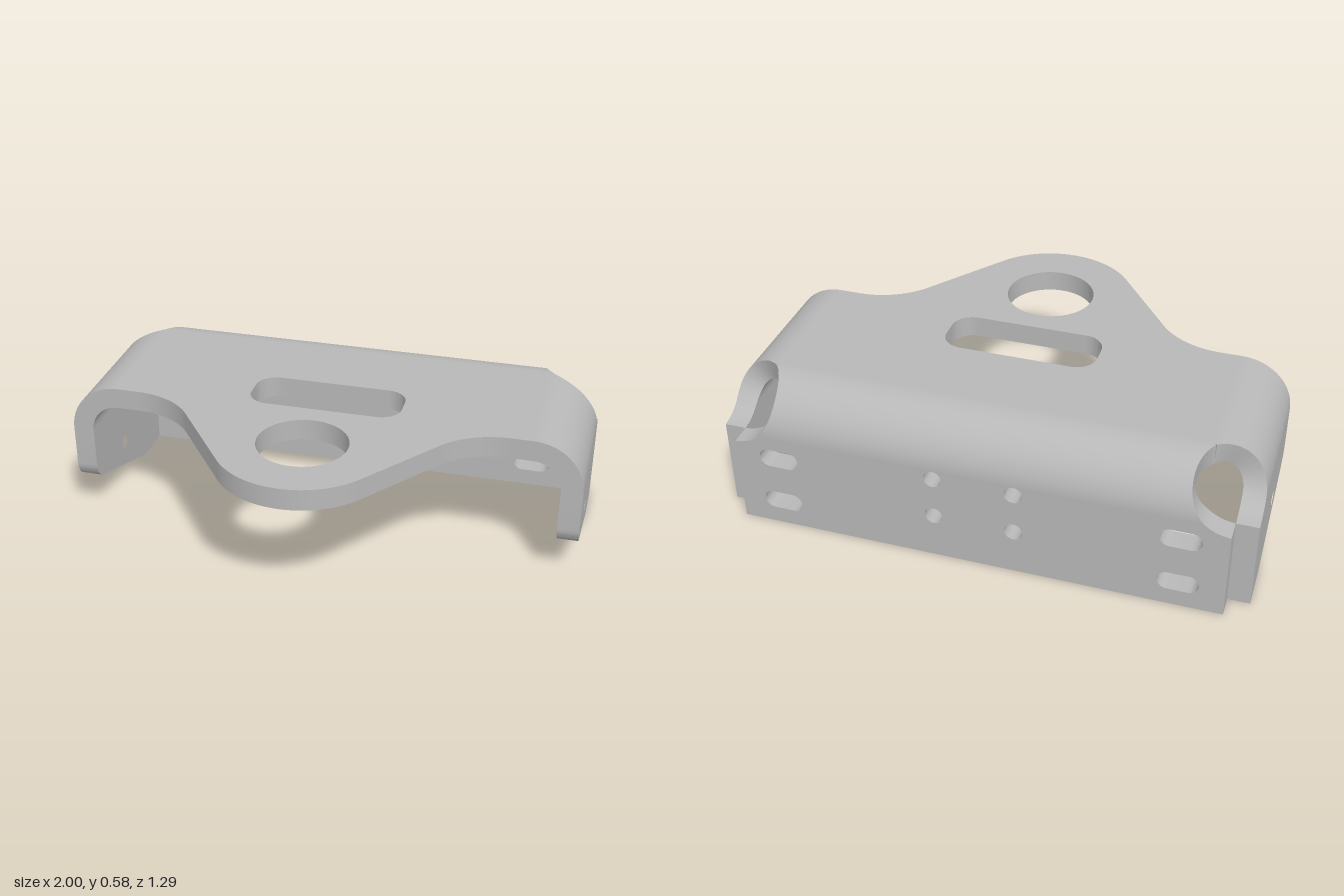
import * as THREE from 'three';
import { toCreasedNormals } from 'three/addons/utils/BufferGeometryUtils.js';

const T = 0.082;                     // sheet thickness
const H = 0.585;                     // overall height
const R = 0.195;                     // outer bend radius
const X0 = 0.805, Z0 = 0.455;        // where the side and back bends start
const FRONT = 0.1;                   // front edge of the side flanges
const L = (R - T / 2) * Math.PI / 2; // unfolded length of a bend
const C = L / 2, RELIEF = 0.161;     // corner relief circle on the unfolded sheet
const SLIT = R - T;                  // flange end past the bend start
const TILT = Math.atan2(0.6, 0.8);

// How far the sheet reaches past the neighbouring bend line, at unfolded distance u
function reach(u) {
  const q = RELIEF ** 2 - (u - C) ** 2;
  return Math.min(u, SLIT, q > 0 ? C - Math.sqrt(q) : SLIT);
}

function hole(shape, x, y, r) {
  shape.holes.push(new THREE.Path().absarc(x, y, r, 0, Math.PI * 2, true));
}

// Rounded rectangular hole; a slot when r is half its height
function slot(shape, x, y, w, h, r) {
  const p = new THREE.Path(), a = w / 2 - r, b = h / 2 - r, q = Math.PI / 2;
  p.absarc(x + a, y + b, r, 0, q);
  p.absarc(x - a, y + b, r, q, 2 * q);
  p.absarc(x - a, y - b, r, 2 * q, 3 * q);
  p.absarc(x + a, y - b, r, 3 * q, 4 * q);
  p.closePath();
  shape.holes.push(p);
}

function sheet(shape) {
  const g = new THREE.ExtrudeGeometry(shape, { depth: T, bevelEnabled: false, curveSegments: 24 });
  return toCreasedNormals(g, 0.5);
}

// Quarter bend along local x, turning from up (+y) to outward (+z)
function bendGeometry(start, lo, hi) {
  const N = 32, rows = [], pos = [];
  for (let i = 0; i <= N; i++) {
    const a = i / N * Math.PI / 2, u = i / N * L;
    const pt = (x, r) => [x, H - R + r * Math.cos(a), start + r * Math.sin(a)];
    rows.push([pt(lo(u), R), pt(hi(u), R), pt(hi(u), R - T), pt(lo(u), R - T)]);
  }
  for (let i = 0; i < N; i++) {
    for (let k = 0; k < 4; k++) {
      const n = (k + 1) % 4;
      const a = rows[i][k], b = rows[i + 1][k], c = rows[i + 1][n], d = rows[i][n];
      pos.push(...a, ...b, ...c, ...a, ...c, ...d);
    }
  }
  const g = new THREE.BufferGeometry();
  g.setAttribute('position', new THREE.Float32BufferAttribute(pos, 3));
  return toCreasedNormals(g, 0.5);
}

// Relief edge of a flange, from its slit end up to the bend
function reliefPoints(edge) {
  const pts = [], end = C + Math.sqrt(RELIEF ** 2 - (SLIT - C) ** 2);
  for (let i = 0; i <= 10; i++) {
    const u = end + (L - end) * i / 10;
    pts.push([edge + reach(u), H - R - (u - L)]);
  }
  return pts;
}

function topShape() {
  const s = new THREE.Shape();
  s.moveTo(-X0, -Z0);
  s.lineTo(X0, -Z0);
  s.lineTo(X0, FRONT);
  s.absarc(0.72, FRONT + 0.3, 0.3, -Math.PI / 2, TILT - Math.PI, true);
  s.absarc(0, 0.32, 0.325, TILT, Math.PI - TILT, false);
  s.absarc(-0.72, FRONT + 0.3, 0.3, -TILT, -Math.PI / 2, true);
  s.lineTo(-X0, FRONT);
  s.closePath();
  hole(s, 0, 0.32, 0.17);
  slot(s, 0, -0.045, 0.59, 0.22, 0.08);
  return s;
}

function backShape() {
  const right = reliefPoints(X0);
  const left = right.map(([x, y]) => [-x, y]).reverse();
  const pts = [[-X0 - SLIT, 0], [X0 + SLIT, 0], ...right, ...left];
  const s = new THREE.Shape(pts.map(p => new THREE.Vector2(...p)));
  for (const m of [-1, 1]) {
    for (const y of [0.105, 0.3]) slot(s, m * 0.75, y, 0.15, 0.075, 0.0374);
    for (const y of [0.183, 0.35]) hole(s, m * 0.15, y, 0.034);
  }
  return s;
}

// Side flange outline; m = 1 runs backwards along local x, m = -1 is mirrored
function sideShape(m) {
  const pts = [[0.4, 0], [Z0 + SLIT, 0], ...reliefPoints(Z0), [-FRONT, H - R]];
  for (let i = 0; i <= 10; i++) {    // rounded lower front corner
    const a = -i / 10 * 1.239;
    pts.push([-0.02 - 0.08 * Math.cos(a), 0.229 + 0.08 * Math.sin(a)]);
  }
  const s = new THREE.Shape(pts.map(([x, y]) => new THREE.Vector2(m * x, y)));
  hole(s, m * 0.187, 0.177, 0.026);
  return s;
}

export function createModel() {
  const model = new THREE.Group();
  model.name = 'mountingBracket';
  const steel = new THREE.MeshStandardMaterial({ color: 0xb8b8b8 });
  steel.name = 'plainSteel';

  function add(parent, name, geometry) {
    const mesh = new THREE.Mesh(geometry, steel);
    mesh.name = name;
    parent.add(mesh);
    return mesh;
  }

  // Folded wall: bend plus flange, turned to face its side
  function wall(name, angle, start, lo, hi, shape) {
    const g = new THREE.Group();
    g.name = name;
    add(g, name + 'Bend', bendGeometry(start, lo, hi));
    add(g, name + 'Flange', sheet(shape)).position.z = start + R - T;
    g.rotation.y = angle;
    model.add(g);
  }

  // Top plate with front tongue
  const top = add(model, 'topPlate', sheet(topShape()));
  top.rotation.x = Math.PI / 2;
  top.position.y = H;

  // Back and side walls
  wall('back', Math.PI, Z0, u => -X0 - reach(u), u => X0 + reach(u), backShape());
  wall('leftSide', Math.PI / 2, X0, () => -FRONT, u => Z0 + reach(u), sideShape(1));
  wall('rightSide', -Math.PI / 2, X0, u => -Z0 - reach(u), () => FRONT, sideShape(-1));

  return model;
}
